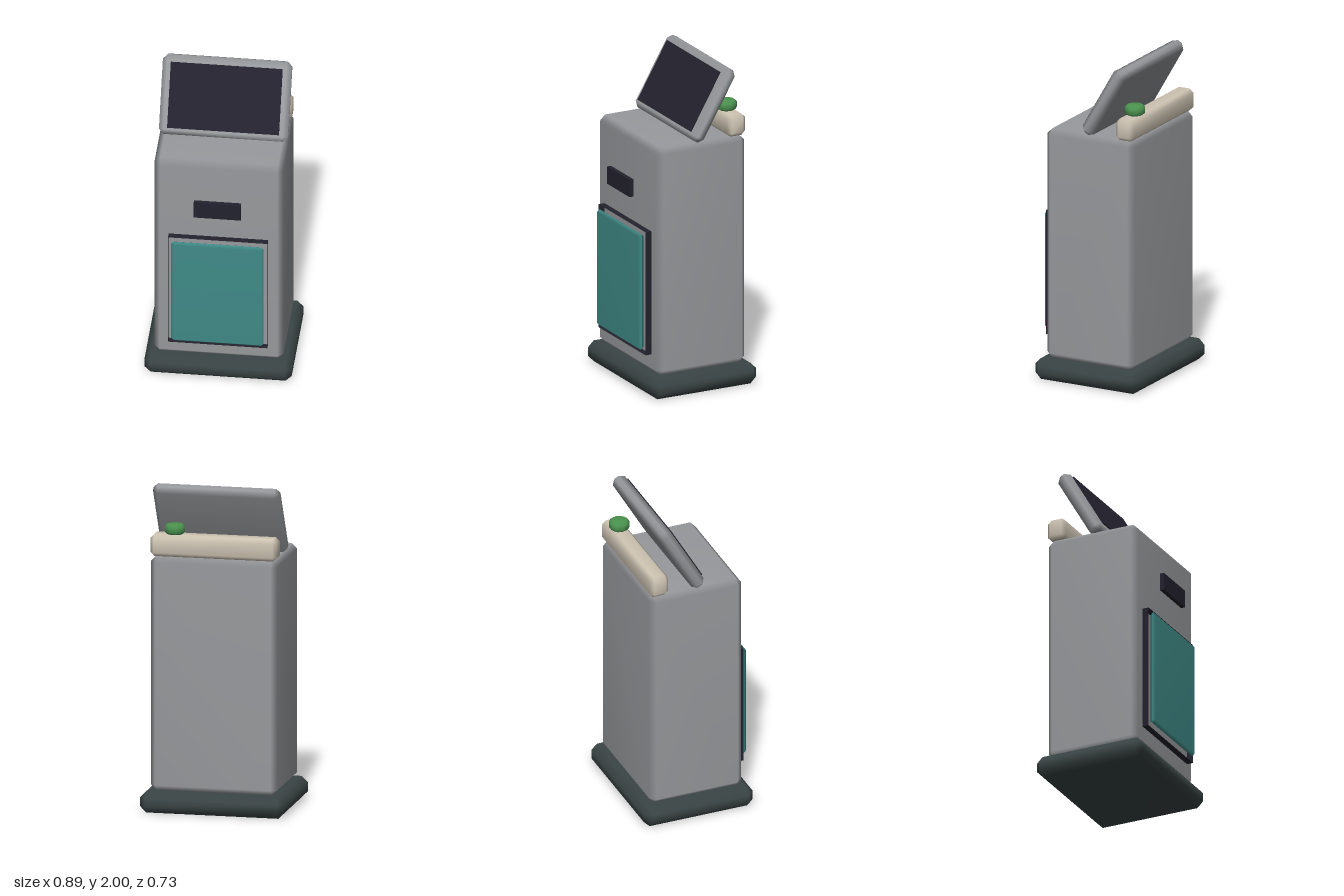
import * as THREE from 'three';
import { mergeVertices } from 'three/addons/utils/BufferGeometryUtils.js';
import { ConvexGeometry } from 'three/addons/geometries/ConvexGeometry.js';

const mat = (name, color, side = THREE.FrontSide) => {
  const m = new THREE.MeshStandardMaterial({ color, side });
  m.name = name;
  return m;
};

// Box with one chamfer per edge and normals shared across it
function chamferBox(w, h, d, b) {
  const points = [];
  for (const sx of [-1, 1]) for (const sy of [-1, 1]) for (const sz of [-1, 1]) {
    for (let flat = 0; flat < 3; flat++) {
      const [x, y, z] = [w, h, d].map((s, i) => s / 2 - (i === flat ? 0 : b));
      points.push(new THREE.Vector3(sx * x, sy * y, sz * z));
    }
  }
  const g = new ConvexGeometry(points);
  g.deleteAttribute('normal');
  const merged = mergeVertices(g, 1e-5);
  merged.computeVertexNormals();
  return merged;
}

export function createModel() {
  const model = new THREE.Group();
  model.name = 'kiosk';
  const grey = mat('grey casing', 0x97999c);
  const dark = mat('dark glass', 0x23222e);
  const darkTrim = mat('dark trim', 0x23222e, THREE.DoubleSide);
  const slate = mat('slate base', 0x3b4545);
  const teal = mat('teal door', 0x3f8a87);
  const beige = mat('beige housing', 0xcfc5b4);
  const green = mat('green button', 0x4c9450);

  const add = (name, geometry, material, x, y, z, parent = model) => {
    const mesh = new THREE.Mesh(geometry, material);
    mesh.name = name;
    mesh.position.set(x, y, z);
    parent.add(mesh);
    return mesh;
  };

  // Base and cabinet
  add('base', chamferBox(0.89, 0.13, 0.71, 0.038), slate, 0, 0.065, -0.005);
  add('cabinet', chamferBox(0.78, 1.44, 0.6, 0.034), grey, 0, 0.85, -0.005);

  // Door inside an open rim of thin walls
  add('door', chamferBox(0.56, 0.735, 0.034, 0.016), teal, 0, 0.643, 0.348);
  const rim = new THREE.Group();
  rim.name = 'doorRim';
  rim.position.set(0, 0.64, 0.315);
  model.add(rim);
  for (const s of [-1, 1]) {
    add('rimSide', new THREE.PlaneGeometry(0.04, 0.78), darkTrim, s * 0.3, 0, 0, rim).rotation.y = s * Math.PI / 2;
    add('rimEdge', new THREE.PlaneGeometry(0.6, 0.04), darkTrim, 0, s * 0.39, 0, rim).rotation.x = -s * Math.PI / 2;
  }

  // Receipt slot plate
  add('slot', new THREE.BoxGeometry(0.285, 0.11, 0.026), dark, 0, 1.265, 0.347);

  // Tilted display
  const display = new THREE.Group();
  display.name = 'display';
  display.position.set(0, 1.783, -0.095);
  display.rotation.x = -Math.PI / 6;
  model.add(display);
  add('displayCase', chamferBox(0.78, 0.484, 0.09, 0.03), grey, 0, 0, 0, display);
  add('screen', new THREE.BoxGeometry(0.676, 0.4, 0.018), dark, 0, 0, 0.043, display);

  // Rear housing with a ten-sided button
  add('rearHousing', chamferBox(0.78, 0.135, 0.122, 0.024), beige, 0, 1.6375, -0.245);
  const profile = [[0, -0.03], [0.048, -0.03], [0.063, -0.016], [0.063, 0.016], [0.048, 0.03], [0, 0.03]]
    .map(([r, y]) => new THREE.Vector2(r, y));
  const button = add('button', new THREE.LatheGeometry(profile, 10), green, 0.247, 1.735, -0.245);
  button.rotation.y = Math.PI / 10;

  return model;
}
